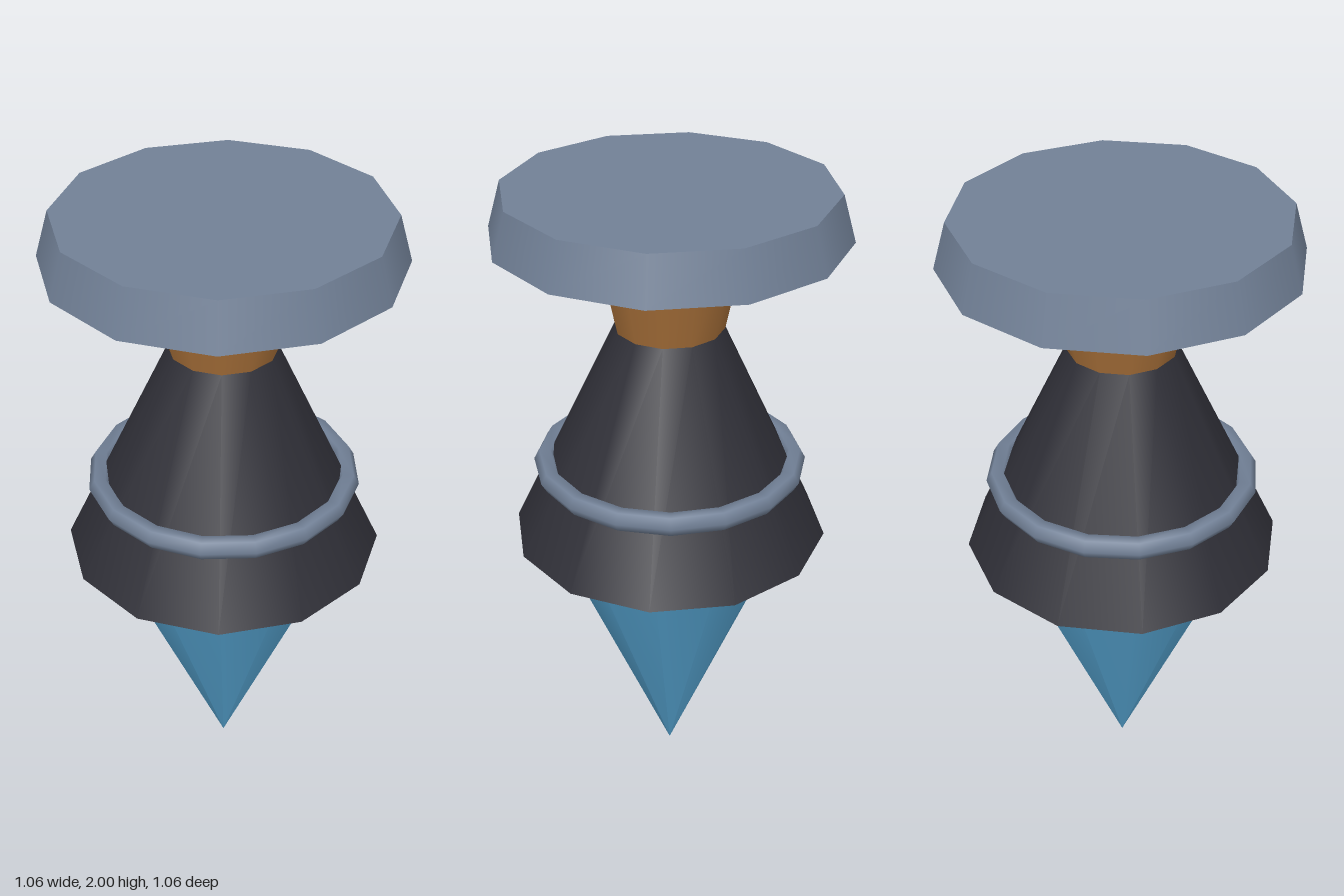
import * as THREE from 'three';

const SIDES = 12;

export function createModel() {
  const group = new THREE.Group();
  const material = (name, color) => {
    const m = new THREE.MeshStandardMaterial({ color });
    m.name = name;
    return m;
  };
  const slate = material('slate metal', 0x718096);
  const wood = material('brown wood', 0xa56e38);
  const dark = material('dark iron', 0x2f2f37);
  const blue = material('blue crystal', 0x55a3d0);

  const add = (name, geometry, mat, y) => {
    const mesh = new THREE.Mesh(geometry, mat);
    mesh.name = name;
    mesh.position.y = y;
    group.add(mesh);
    return mesh;
  };
  // Tapered twelve-sided section between two heights
  const taper = (name, rTop, rBottom, y0, y1, mat) =>
    add(name, new THREE.CylinderGeometry(rTop, rBottom, y1 - y0, SIDES), mat, (y0 + y1) / 2);

  taper('cap', 0.49, 0.53, 1.86, 2, slate);
  taper('neck', 0.225, 0.165, 1.575, 1.86, wood);
  taper('body', 0.165, 0.49, 0.88, 1.575, dark);

  // Downward-pointing tip
  const tip = new THREE.ConeGeometry(0.37, 0.88, SIDES);
  tip.rotateX(Math.PI);
  add('tip', tip, blue, 0.44);

  // Band around the body
  const ring = new THREE.TorusGeometry(0.387, 0.034, 6, 16);
  ring.rotateX(Math.PI / 2);
  add('bandRing', ring, slate, 1.122);

  return group;
}
